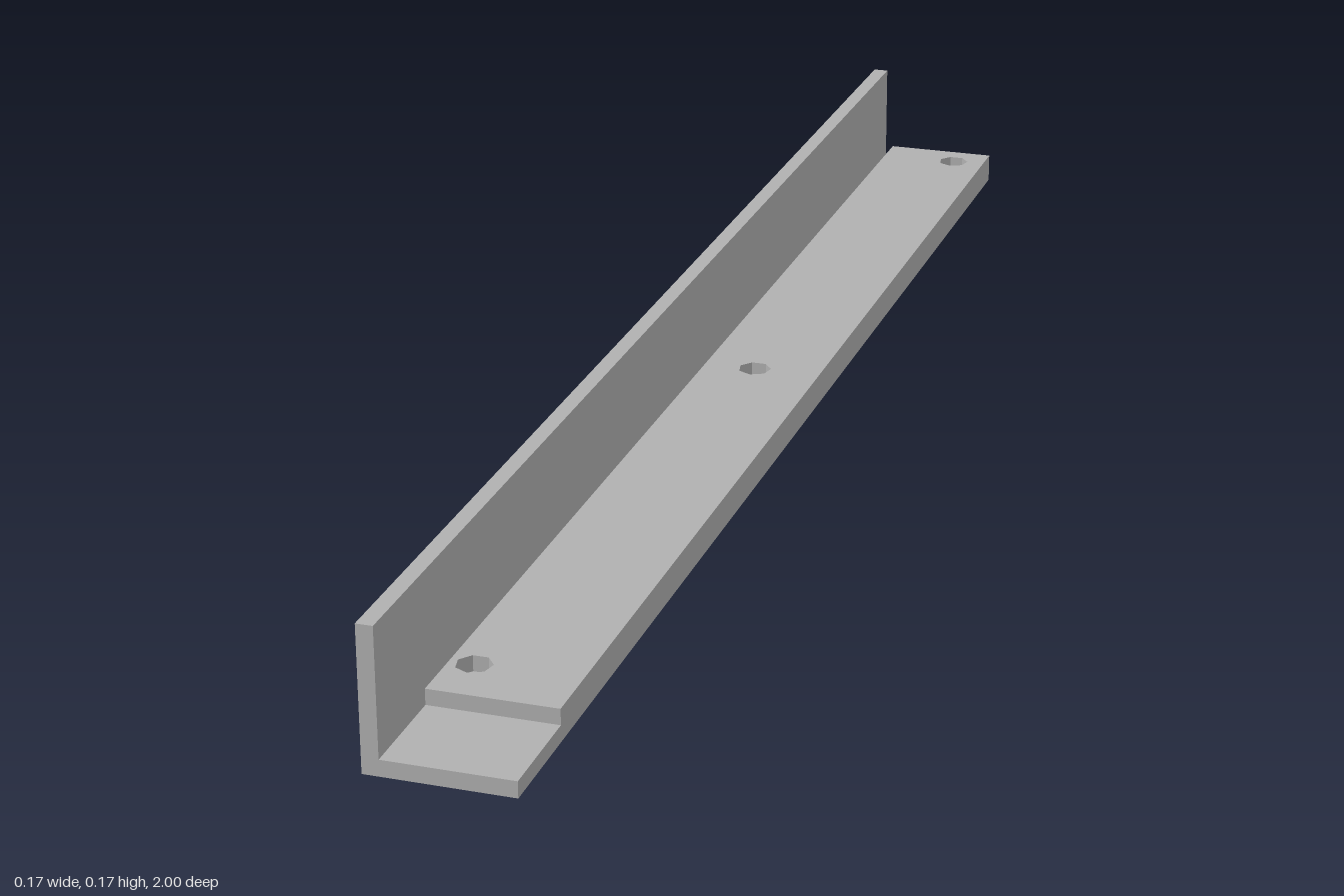
import * as THREE from 'three';

const steel = new THREE.MeshStandardMaterial({ color: 0xb0b0b0 });
steel.name = 'grey steel';

const LEFT = -0.085, INNER = -0.0655, RIGHT = 0.085;
const FRONT = 1, BACK = -1, STEP = 0.875, WALL_BACK = -0.96;
const LEDGE = 0.0195, PLATE_TOP = 0.0385, WALL_TOP = 0.17;

// Box given by its limits on each axis
function slab(name, x0, x1, y0, y1, z0, z1) {
  const mesh = new THREE.Mesh(new THREE.BoxGeometry(x1 - x0, y1 - y0, z1 - z0), steel);
  mesh.position.set((x0 + x1) / 2, (y0 + y1) / 2, (z0 + z1) / 2);
  mesh.name = name;
  return mesh;
}

// Seven-sided screw hole with one corner towards the front
function screwHole(x, z) {
  const points = [];
  for (let i = 0; i < 7; i++) {
    const a = -Math.PI / 2 - (i * 2 * Math.PI) / 7;
    points.push(new THREE.Vector2(x + 0.021 * Math.cos(a), -z + 0.021 * Math.sin(a)));
  }
  return new THREE.Path(points);
}

export function createModel() {
  const model = new THREE.Group();
  model.name = 'angleRail';

  // L-shaped rail
  model.add(slab('uprightFlange', LEFT, INNER, 0, WALL_TOP, WALL_BACK, FRONT));
  model.add(slab('bottomFlange', INNER, RIGHT, 0, LEDGE, BACK, FRONT));

  // Raised plate with blind screw holes, stopping short of the front ledge
  const outline = new THREE.Shape([
    new THREE.Vector2(INNER, -STEP),
    new THREE.Vector2(RIGHT, -STEP),
    new THREE.Vector2(RIGHT, -BACK),
    new THREE.Vector2(INNER, -BACK),
  ]);
  outline.holes.push(screwHole(0.04, -0.957), screwHole(0, -0.077), screwHole(-0.037, 0.807));
  const geometry = new THREE.ExtrudeGeometry(outline, { depth: PLATE_TOP - LEDGE, bevelEnabled: false });
  geometry.rotateX(-Math.PI / 2);
  geometry.translate(0, LEDGE, 0);
  const plate = new THREE.Mesh(geometry, steel);
  plate.name = 'drilledPlate';
  model.add(plate);

  return model;
}
